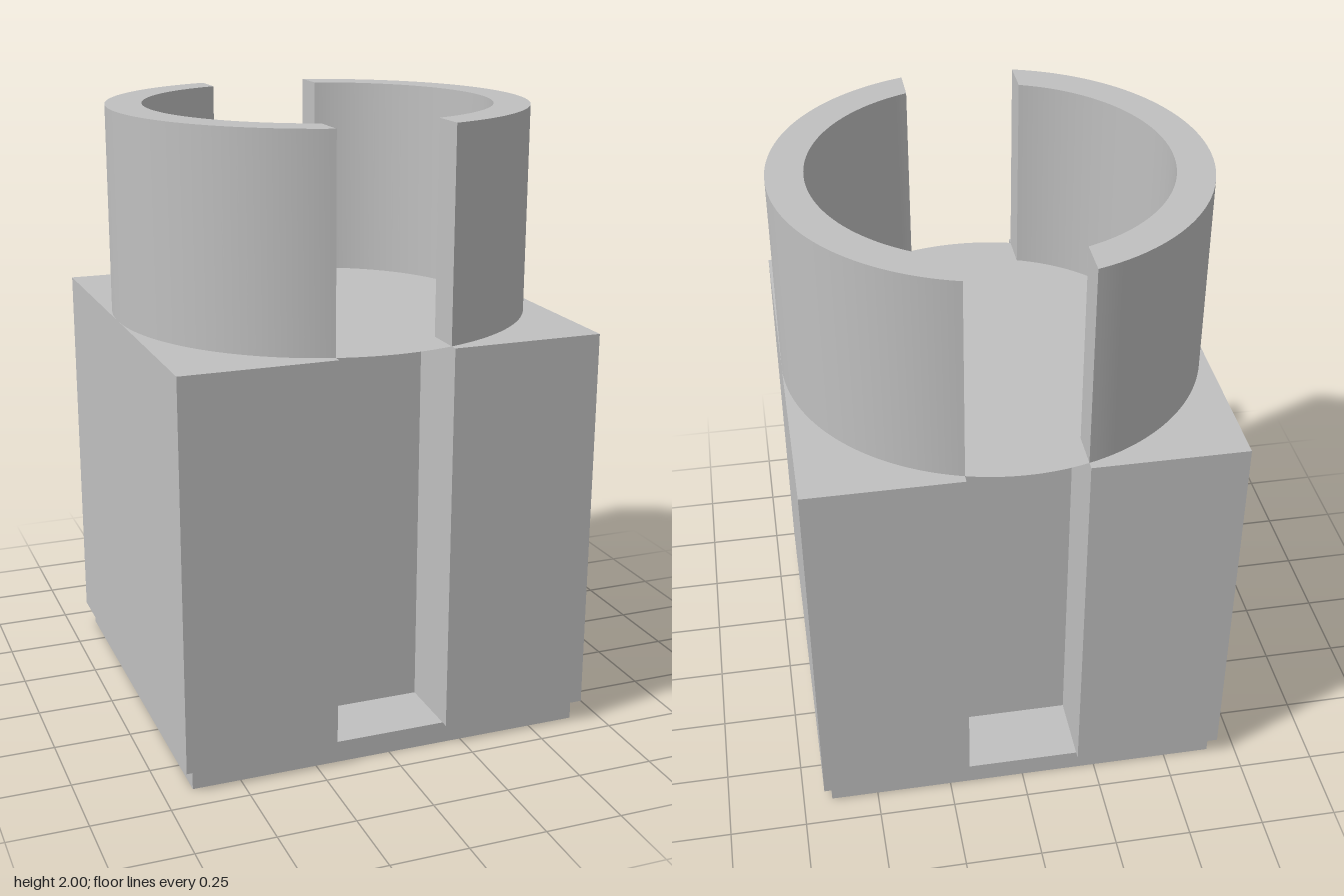
import * as THREE from 'three';
import { toCreasedNormals } from 'three/addons/utils/BufferGeometryUtils.js';

const HALF = 0.68;      // half width of the body, also the collar's outer radius
const INNER = 0.563;    // collar's inner radius
const GAP = 0.187;      // half width of the slots
const SLOT_Z = 0.43;    // back wall of the slots
const BASE_H = 0.07, BODY_TOP = 1.33, TOP = 2;

// Extrude a plan shape upwards from y0 to y1
function extrudeUp(shape, y0, y1) {
  const g = new THREE.ExtrudeGeometry(shape, { depth: y1 - y0, bevelEnabled: false, curveSegments: 48 });
  g.rotateX(-Math.PI / 2);
  g.translate(0, y0, 0);
  return toCreasedNormals(g, 0.5);
}

export function createModel() {
  const group = new THREE.Group();
  const grey = new THREE.MeshStandardMaterial({ color: 0xc0c0c0 });
  grey.name = 'grey';
  const greyThin = grey.clone();
  greyThin.side = THREE.DoubleSide;
  const add = (name, geometry, material = grey) => {
    const mesh = new THREE.Mesh(geometry, material);
    mesh.name = name;
    group.add(mesh);
  };

  // Slightly inset foot
  const foot = new THREE.BoxGeometry(1.31, BASE_H, 1.31);
  foot.translate(0, BASE_H / 2, 0);
  add('foot', foot);

  // Square body with a vertical slot in front and back
  const plan = new THREE.Shape([
    [-HALF, -HALF], [-GAP, -HALF], [-GAP, -SLOT_Z], [GAP, -SLOT_Z], [GAP, -HALF], [HALF, -HALF],
    [HALF, HALF], [GAP, HALF], [GAP, SLOT_Z], [-GAP, SLOT_Z], [-GAP, HALF], [-HALF, HALF],
  ].map(([x, y]) => new THREE.Vector2(x, y)));
  add('body', extrudeUp(plan, BASE_H, BODY_TOP));

  // Thin rounded lids that close the slots at the top
  const edge = Math.acos(GAP / HALF);
  for (const [name, turn] of [['backLid', 0], ['frontLid', Math.PI]]) {
    const lid = new THREE.Shape();
    lid.moveTo(-GAP, SLOT_Z);
    lid.lineTo(GAP, SLOT_Z);
    lid.absarc(0, 0, HALF, edge, Math.PI - edge, false);
    lid.closePath();
    const g = new THREE.ShapeGeometry(lid, 24);
    g.rotateX(-Math.PI / 2);
    g.rotateY(turn);
    g.translate(0, BODY_TOP, 0);
    add(name, g, greyThin);
  }

  // Two halves of the split collar, with parallel gap faces
  const innerEdge = Math.acos(GAP / INNER);
  for (const [name, turn] of [['leftCollar', 0], ['rightCollar', Math.PI]]) {
    const half = new THREE.Shape();
    half.absarc(0, 0, HALF, -edge, edge, false);
    half.absarc(0, 0, INNER, innerEdge, -innerEdge, true);
    half.closePath();
    const g = extrudeUp(half, BODY_TOP, TOP);
    g.rotateY(turn);
    add(name, g);
  }
  return group;
}
